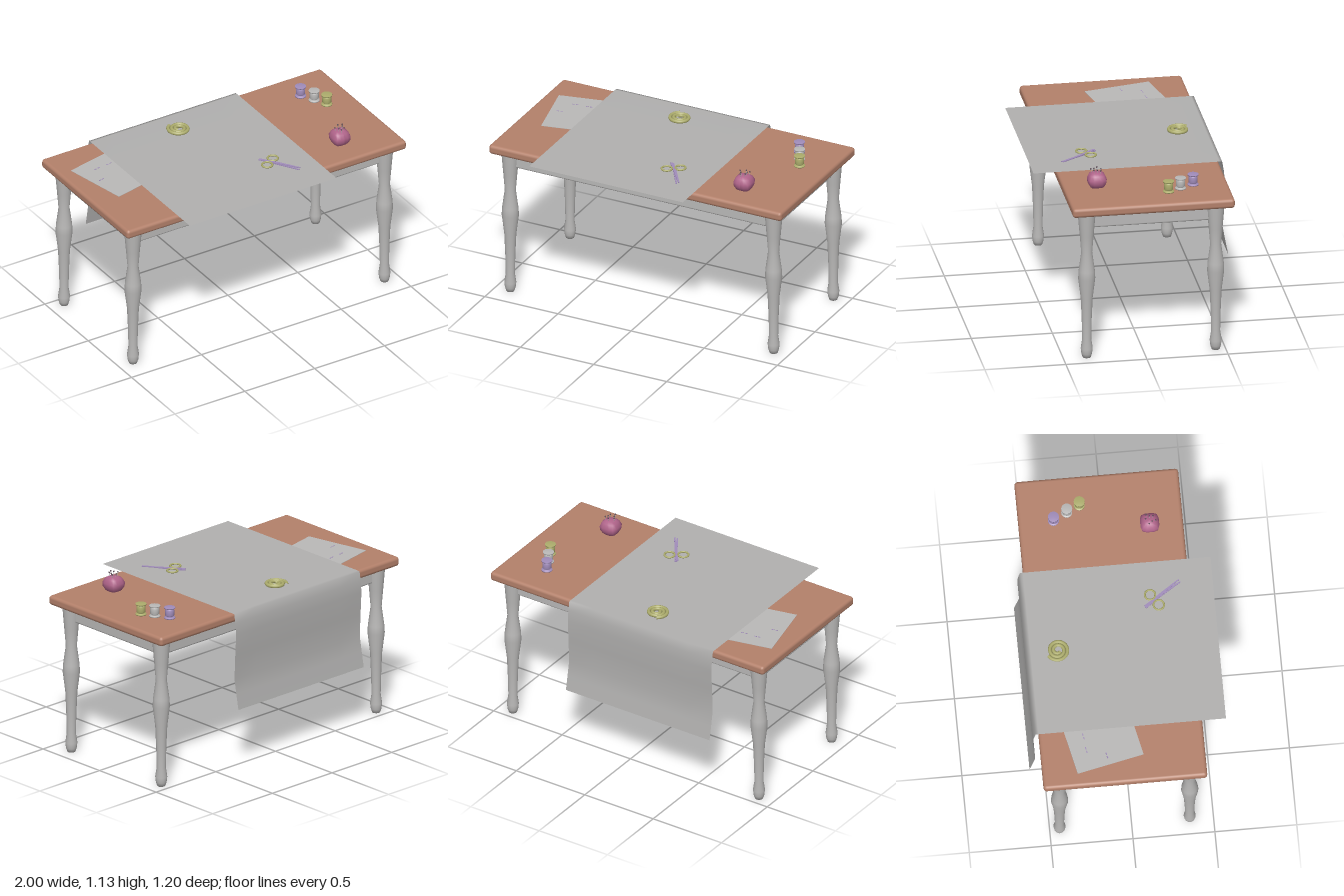
import * as THREE from 'three';
import { RoundedBoxGeometry } from 'three/addons/geometries/RoundedBoxGeometry.js';

export function createModel() {
  const root = new THREE.Group();
  root.name = 'sewingTable';
  const material = (name, color, extra = {}) => {
    const m = new THREE.MeshStandardMaterial({ color, ...extra });
    m.name = name;
    return m;
  };
  const wood = material('wood', 0xb3806a);
  const paint = material('paintedGrey', 0xb9b8b7);
  const fabric = material('fabric', 0xb0afae, { side: THREE.DoubleSide });
  const pink = material('pink', 0xb0648a);
  const olive = material('olive', 0xacac6c);
  const lilac = material('lilac', 0xa08cba);
  const dark = material('darkMetal', 0x5c4a56);

  const add = (name, geometry, mat, x = 0, y = 0, z = 0, parent = root) => {
    const mesh = new THREE.Mesh(geometry, mat);
    mesh.name = name;
    mesh.position.set(x, y, z);
    parent.add(mesh);
    return mesh;
  };
  const lathe = (points, sides) =>
    new THREE.LatheGeometry(points.map(([r, y]) => new THREE.Vector2(r, y)), sides);
  const group = (name, x, y, z) => {
    const g = new THREE.Group();
    g.name = name;
    g.position.set(x, y, z);
    root.add(g);
    return g;
  };
  const TOP = 1.015;

  // Table top and the solid skirt beneath it
  add('tableTop', new RoundedBoxGeometry(2, 0.06, 1, 2, 0.02), wood, 0, 0.985, -0.045);
  add('apron', new RoundedBoxGeometry(1.82, 0.12, 0.82, 2, 0.012), paint, 0, 0.911, -0.043);

  // Four turned legs
  const legGeometry = lathe([[0, 0], [0.025, 0], [0.033, 0.025], [0.037, 0.06], [0.028, 0.12],
    [0.031, 0.25], [0.037, 0.39], [0.053, 0.52], [0.05, 0.57], [0.034, 0.69],
    [0.043, 0.8], [0.054, 0.93], [0.055, 0.957]], 16);
  for (const x of [-0.9, 0.9]) {
    for (const z of [-0.44, 0.355]) add('leg', legGeometry, paint, x, 0, z);
  }

  // Cloth lying flat past the front edge and hanging down at the back
  const fold = [[-0.6, 0.405], [-0.582, 0.5], [-0.565, 0.595], [-0.572, 0.75], [-0.58, 0.89],
    [-0.573, 0.96], [-0.563, 1.018], [-0.545, 1.02], [-0.285, 1.02], [0.6, 1.02]];
  const cloth = new THREE.PlaneGeometry(1.05, 1, 6, fold.length - 1);
  const pos = cloth.attributes.position;
  for (let i = 0; i < pos.count; i++) {
    const [z, y] = fold[Math.floor(i / 7)];
    pos.setXYZ(i, pos.getX(i), y, z);
  }
  cloth.computeVertexNormals();
  add('cloth', cloth, fabric, -0.12);

  // Pattern paper with small stitch marks, partly under the cloth
  const paper = group('patternPaper', -0.875, TOP + 0.001, -0.125);
  paper.rotation.y = 0.214;
  add('sheet', new THREE.BoxGeometry(0.5, 0.002, 0.42), paint, 0.25, 0, 0, paper);
  for (const [x, z] of [[0.13, -0.115], [0.22, -0.105], [0.06, -0.005]]) {
    for (const dx of [-0.012, 0.012]) {
      add('stitchMark', new THREE.BoxGeometry(0.015, 0.002, 0.006), lilac, x + dx, 0.0015, z, paper);
    }
  }

  // Thread spools in a row
  const spoolGeometry = lathe([[0, 0], [0.034, 0], [0.034, 0.006], [0.021, 0.009], [0.021, 0.015],
    [0.028, 0.019], [0.028, 0.053], [0.021, 0.058], [0.021, 0.063], [0.034, 0.065],
    [0.034, 0.071], [0, 0.071]], 16);
  [[0.725, -0.33, lilac], [0.77, -0.245, paint], [0.81, -0.165, olive]].forEach(([x, z, mat]) =>
    add('threadSpool', spoolGeometry, mat, x, TOP, z));

  // Coiled measuring tape
  const coil = [];
  for (let i = 0; i <= 40; i++) {
    const t = i / 40, r = 0.068 - 0.05 * t, a = 4.2 - t * Math.PI * 4.6;
    coil.push(new THREE.Vector3(Math.cos(a) * r, 0, Math.sin(a) * r));
  }
  add('measuringTape', new THREE.TubeGeometry(new THREE.CatmullRomCurve3(coil), 70, 0.011, 8),
    olive, -0.115, 1.03, -0.38);

  // Scissors: two crossed blades with ring handles
  const scissors = group('scissors', 0.165, 1.029, 0.25);
  scissors.rotation.y = 0.6;
  const bladeShape = new THREE.Shape([[-0.008, -0.09], [0.008, -0.09], [0.011, 0.03], [0.003, 0.18], [-0.004, 0.18]]
    .map(([x, y]) => new THREE.Vector2(x, y)));
  const bladeGeometry = new THREE.ExtrudeGeometry(bladeShape, { depth: 0.005, bevelEnabled: false });
  bladeGeometry.rotateX(Math.PI / 2);
  for (const s of [-1, 1]) {
    const blade = add('blade', bladeGeometry, lilac, 0, s * 0.002, 0, scissors);
    blade.rotation.y = s * 0.045;
    const ring = add('ringHandle', new THREE.TorusGeometry(0.032, 0.006, 8, 20), olive, s * 0.042, 0, -0.018, scissors);
    ring.rotation.x = Math.PI / 2;
  }

  // Pincushion with rounded square plan and pins fanning from its top
  const cushion = group('pincushion', 0.645, TOP, 0.25);
  const cushionGeometry = lathe([[0, 0], [0.042, 0], [0.056, 0.025], [0.058, 0.05], [0.046, 0.076],
    [0.028, 0.088], [0, 0.09]], 16);
  const cp = cushionGeometry.attributes.position;
  for (let i = 0; i < cp.count; i++) {
    const a = Math.atan2(cp.getZ(i), cp.getX(i));
    const k = Math.pow(Math.cos(a) ** 4 + Math.sin(a) ** 4, -0.25);
    cp.setX(i, cp.getX(i) * k);
    cp.setZ(i, cp.getZ(i) * k);
  }
  cushionGeometry.computeVertexNormals();
  add('cushion', cushionGeometry, pink, 0, 0, 0, cushion);
  for (let i = 0; i < 7; i++) {
    const a = i * 2.4, r = 0.012 + 0.003 * i;
    const pin = new THREE.Group();
    pin.name = 'pin';
    pin.position.set(Math.cos(a) * r, 0.075, Math.sin(a) * r);
    pin.rotation.set(Math.sin(a) * 0.2, 0, -Math.cos(a) * 0.2);
    cushion.add(pin);
    add('pinShaft', new THREE.CylinderGeometry(0.0015, 0.0015, 0.036, 6), paint, 0, 0.018, 0, pin);
    add('pinHead', new THREE.SphereGeometry(0.005, 8, 6), dark, 0, 0.036, 0, pin);
  }
  return root;
}
